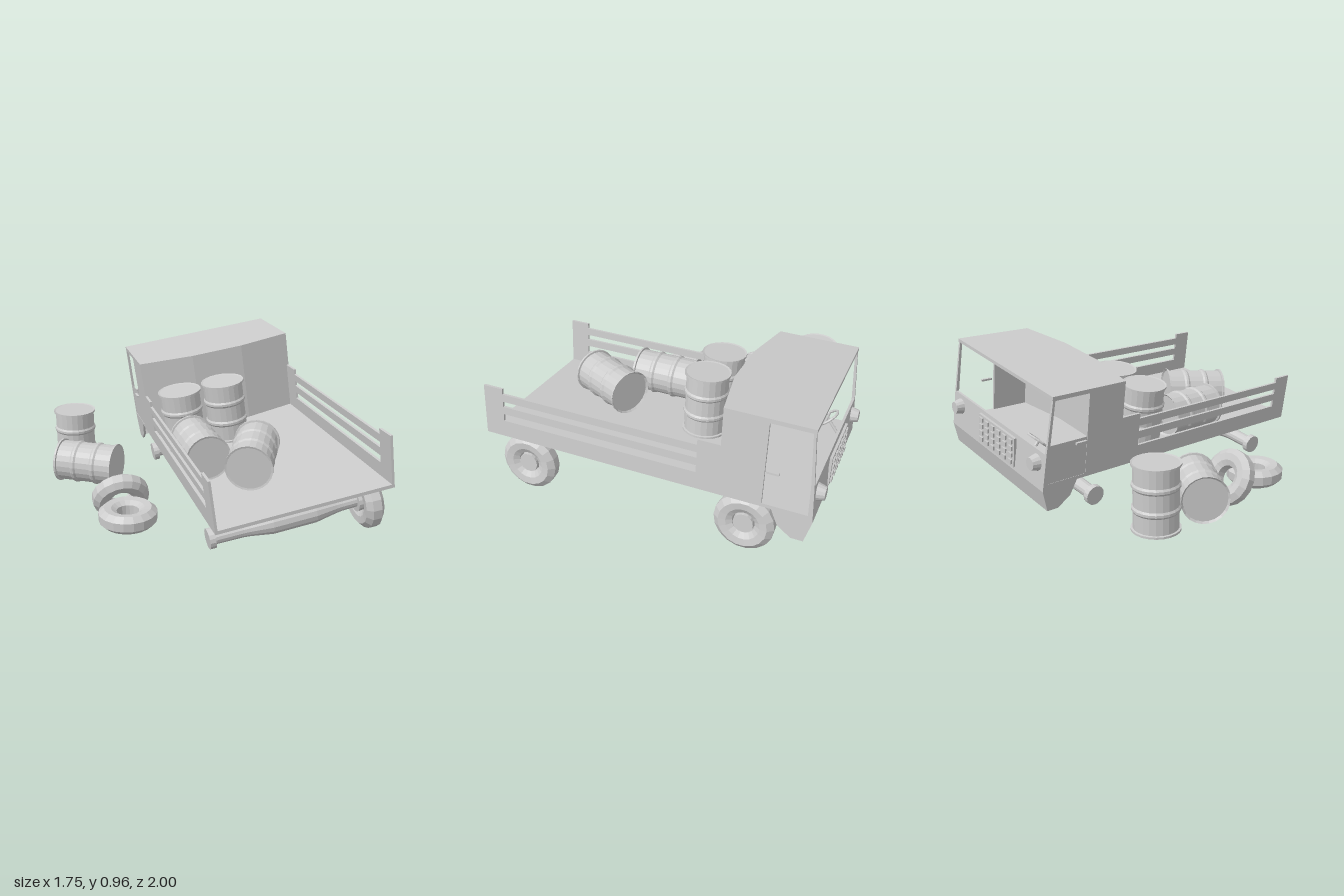
import * as THREE from 'three';

const mat = new THREE.MeshStandardMaterial({ color: 0xcccccc, flatShading: true, side: THREE.DoubleSide });
const oneSided = new THREE.MeshStandardMaterial({ color: 0xcccccc, flatShading: true });
const V = (x, y, z) => new THREE.Vector3(x, y, z);
const pts = (list) => list.map(([x, y]) => new THREE.Vector2(x, y));
const shapeOf = (list) => new THREE.Shape(pts(list));
const rect = (x0, y0, x1, y1) => [[x0, y0], [x1, y0], [x1, y1], [x0, y1]];

function add(parent, name, geo, x = 0, y = 0, z = 0, material = mat) {
  const m = new THREE.Mesh(geo, material);
  m.name = name;
  m.position.set(x, y, z);
  parent.add(m);
  return m;
}
const box = (parent, name, w, h, d, x, y, z) => add(parent, name, new THREE.BoxGeometry(w, h, d), x, y, z);
const extrude = (shape, depth) => new THREE.ExtrudeGeometry(shape, { depth, bevelEnabled: false });
// turn an upright (y) axis to a given direction
const aim = (obj, dir) => obj.quaternion.setFromUnitVectors(V(0, 1, 0), dir.clone().normalize());

const HALF = 0.515;

function makeDrum(parent, pos, dir) {
  const h = 0.19, r = 0.126, rim = 0.137;
  const profile = [[0, -h + 0.01], [r, -h + 0.01], [rim, -h], [rim, -h + 0.012], [r, -h + 0.014]];
  for (const y of [-0.065, 0.065]) profile.push([r, y - 0.018], [0.134, y - 0.007], [0.134, y + 0.007], [r, y + 0.018]);
  profile.push([r, h - 0.014], [rim, h - 0.012], [rim, h], [r, h - 0.003], [0, h - 0.003]);
  const d = add(parent, 'drum', new THREE.LatheGeometry(pts(profile), 22), pos.x, pos.y, pos.z);
  aim(d, dir);
}

function makeTyre(parent, pos, dir) {
  const profile = [[0.066, -0.03], [0.098, -0.05], [0.14, -0.055], [0.172, -0.026], [0.174, 0.026],
    [0.14, 0.055], [0.098, 0.05], [0.066, 0.03], [0.066, -0.03]];
  const t = add(parent, 'tyre', new THREE.LatheGeometry(pts(profile), 18), pos.x, pos.y, pos.z);
  aim(t, dir);
}

function makeSides(truck) {
  // one panel per side: slatted bed, cab wall, front skirt (drawn as z, height)
  const outline = [[1, 0], [1, 0.31], [0.88, 0.31], [0.88, 0.277], [-0.31, 0.277], [-0.31, 0.31], [-0.44, 0.31],
    [-0.44, 0.535], [-0.92, 0.535], [-0.95, 0.2], [-0.965, -0.02], [-0.93, -0.15], [-0.86, -0.15], [-0.78, -0.09], [-0.74, 0]];
  const doorway = [[-0.685, 0.01], [-0.685, 0.51], [-0.908, 0.51], [-0.932, 0.2], [-0.937, 0.01]];
  for (const s of [1, -1]) {
    const shape = shapeOf(outline);
    for (const hole of [rect(-0.31, 0.104, 0.88, 0.148), rect(-0.31, 0.196, 0.88, 0.23), doorway]) {
      shape.holes.push(new THREE.Path(pts(hole)));
    }
    const geo = extrude(shape, 0.015).rotateY(-Math.PI / 2);
    add(truck, 'sidePanel', geo, s > 0 ? HALF : -HALF + 0.015);
    box(truck, 'doorHandle', 0.015, 0.012, 0.07, s * 0.523, 0.228, -0.73);
  }
  // remaining door skin
  const door = new THREE.ShapeGeometry(shapeOf(rect(-0.935, 0, -0.685, 0.25))).rotateY(-Math.PI / 2);
  add(truck, 'doorSkin', door, -HALF + 0.002, 0, 0, oneSided);
}

function makeCab(truck) {
  // roof and rear wall share a bowed plan (x, -z)
  const back = [[-HALF, 0.44], [-0.17, 0.38], [0.17, 0.38], [HALF, 0.44]];
  const roof = extrude(shapeOf([...back, [HALF, 0.925], [-HALF, 0.925]]), 0.02).rotateX(-Math.PI / 2);
  add(truck, 'roof', roof, 0, 0.515);
  const inner = back.map(([x, y]) => [x, y + 0.015]).reverse();
  add(truck, 'cabRearWall', extrude(shapeOf([...back, ...inner]), 0.52).rotateX(-Math.PI / 2));

  // front panel below the windscreen
  const front = [[-0.93, -0.15], [-0.965, -0.02], [-0.95, 0.2], [-0.935, 0.2], [-0.95, -0.02], [-0.915, -0.15]];
  add(truck, 'frontPanel', extrude(shapeOf(front), HALF * 2).rotateY(-Math.PI / 2), HALF);

  // grille: plate with a grid of raised blocks
  box(truck, 'grillePlate', 0.4, 0.18, 0.015, -0.02, 0.09, -0.963);
  for (let i = 0; i < 6; i++) {
    for (let j = 0; j < 4; j++) {
      box(truck, 'grilleBlock', 0.036, 0.026, 0.014, -0.185 + i * 0.066, 0.027 + j * 0.042, -0.973);
    }
  }
  for (const s of [1, -1]) {
    const lamp = add(truck, 'headlight', new THREE.CylinderGeometry(0.036, 0.05, 0.05, 14), s * 0.43, 0.125, -0.975);
    lamp.rotation.x = -Math.PI / 2;
  }

  // steering wheel and column
  const steering = new THREE.Group();
  steering.name = 'steeringWheel';
  add(steering, 'steeringRim', new THREE.TorusGeometry(0.07, 0.008, 6, 18));
  box(steering, 'steeringSpoke', 0.13, 0.014, 0.008, 0, 0, 0);
  const column = add(steering, 'steeringColumn', new THREE.CylinderGeometry(0.01, 0.01, 0.14, 8), 0, 0, -0.07);
  column.rotation.x = Math.PI / 2;
  steering.position.set(-0.27, 0.16, -0.84);
  steering.rotation.x = -0.9;
  truck.add(steering);
}

function makeChassis(truck) {
  box(truck, 'floor', HALF * 2, 0.02, 1.945, 0, 0.01, 0.0275);
  const trapezoid = shapeOf([[-0.36, 0], [-0.285, -0.1], [0.285, -0.1], [0.36, 0]]);
  add(truck, 'underBox', extrude(trapezoid, 0.79), 0, 0, -0.31);

  const axleProfile = pts([[0.04, -0.48], [0.043, -0.3], [0.047, -0.26], [0.068, -0.13], [0.068, 0.13], [0.047, 0.26], [0.043, 0.3], [0.04, 0.44]]);
  for (const z of [0.75, -0.59]) {
    add(truck, 'axle', new THREE.LatheGeometry(axleProfile, 14).rotateZ(-Math.PI / 2), 0, -0.16, z);
    // wheels remain on one side only; the other side shows a bare hub
    makeTyre(truck, V(0.45, -0.165, z), V(1, 0, 0));
    add(truck, 'wheelHub', new THREE.CylinderGeometry(0.058, 0.066, 0.1, 16).rotateZ(-Math.PI / 2), 0.44, -0.165, z);
    add(truck, 'bareHub', new THREE.CylinderGeometry(0.06, 0.06, 0.035, 16).rotateZ(Math.PI / 2), -0.485, -0.16, z);
  }
  const shaft = pts([[0.016, -0.55], [0.016, -0.28], [0.032, -0.18], [0.032, 0.2], [0.016, 0.3], [0.016, 0.72]]);
  add(truck, 'driveShaft', new THREE.LatheGeometry(shaft, 12).rotateX(Math.PI / 2), 0, -0.16, 0);
}

export function createModel() {
  const model = new THREE.Group();
  model.name = 'wreckedTruckScene';

  // truck leaning to the side with the missing wheels
  const truck = new THREE.Group();
  truck.name = 'truck';
  truck.position.set(0.335, 0.37, 0);
  truck.rotation.z = 0.14;
  model.add(truck);
  makeSides(truck);
  makeCab(truck);
  makeChassis(truck);

  // drums on the bed
  makeDrum(truck, V(-0.342, 0.215, -0.15), V(0, 1, 0));
  makeDrum(truck, V(-0.055, 0.215, -0.15), V(0, 1, 0));
  makeDrum(truck, V(-0.35, 0.158, 0.225), V(0, 0, 1));
  makeDrum(truck, V(-0.107, 0.158, 0.5), V(-0.46, 0, 0.89));

  // drums and loose tyres on the ground
  makeDrum(model, V(-0.675, 0.32, -0.585), V(0, 1, 0));
  makeDrum(model, V(-0.64, 0.26, -0.24), V(0.85, 0, 0.53));
  makeTyre(model, V(-0.51, 0.155, 0.365), V(0, 1, 0));
  makeTyre(model, V(-0.51, 0.177, 0.14), V(0, 0.47, -0.88));
  return model;
}
